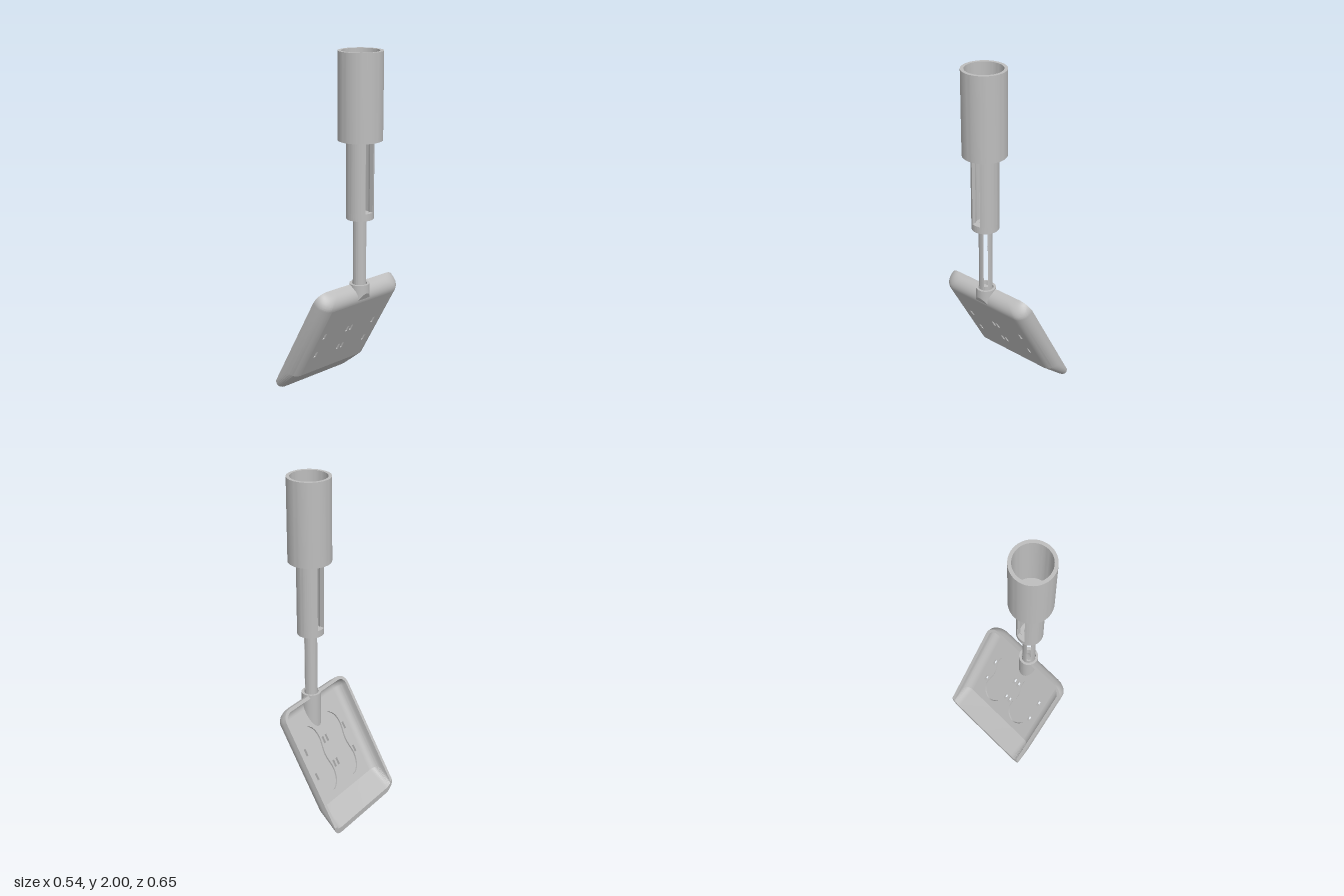
import * as THREE from 'three';
import { toCreasedNormals } from 'three/addons/utils/BufferGeometryUtils.js';

const grey = new THREE.MeshStandardMaterial({ color: 0xbdbdbd, side: THREE.DoubleSide });
grey.name = 'grey';

const DEPTH = 0.094, HALF = 0.303, FILLET = 0.07, WALL = 0.02;
const FLOOR_START = 0.106, FLOOR_END = 0.655;

function part(name, geometry, crease = 0.25) {
  const mesh = new THREE.Mesh(toCreasedNormals(geometry, crease), grey);
  mesh.name = name;
  return mesh;
}

// Upright tube between two heights; a slot of half width `slot` splits it in two
function tube(name, rOut, rIn, y0, y1, slot = 0, angle = 0) {
  const shapes = [];
  if (slot === 0) {
    const ring = new THREE.Shape().absarc(0, 0, rOut, 0, Math.PI * 2, false);
    ring.holes.push(new THREE.Path().absarc(0, 0, rIn, 0, Math.PI * 2, true));
    shapes.push(ring);
  } else {
    const a = Math.asin(slot / rOut), b = Math.asin(slot / rIn);
    for (const turn of [0, Math.PI]) {
      const t = turn + angle;
      const half = new THREE.Shape();
      half.absarc(0, 0, rOut, t + a, t + Math.PI - a, false);
      half.absarc(0, 0, rIn, t + Math.PI - b, t + b, true);
      half.closePath();
      shapes.push(half);
    }
  }
  const geo = new THREE.ExtrudeGeometry(shapes, { depth: y1 - y0, bevelEnabled: false, curveSegments: 40 });
  geo.rotateX(-Math.PI / 2);
  geo.translate(0, y0, 0);
  return part(name, geo);
}

// U-shaped section of the scoop at one station along its length
function section({ s, D, W, shear }, r) {
  const pts = [[s, 0, -W]];
  const rv = Math.min(r, D * 0.95), n = 9;
  const arc = [];
  for (let k = 0; k <= n; k++) {
    const a = (k / n) * Math.PI / 2;
    const d = D - rv + rv * Math.sin(a);
    arc.push([s + shear * d, -d, W - r + r * Math.cos(a)]);
  }
  for (const [x, y, z] of arc) pts.push([x, y, -z]);
  for (const p of arc.reverse()) pts.push(p);
  pts.push([s, 0, W]);
  return pts;
}

// Sections from the lip, over the ramp and floor, round the handle end
function sections(inset, lipDepth) {
  const D = DEPTH - inset, W = HALF - inset, r = FILLET - inset;
  const stations = [
    { s: -0.01, D: lipDepth, W, shear: -1.732 },
    { s: FLOOR_START, D, W, shear: 0 },
  ];
  for (let k = 0; k <= 10; k++) {
    const a = (k / 10) * Math.PI / 2;
    const drop = r * (1 - Math.cos(a));
    stations.push({ s: FLOOR_END + r * Math.sin(a), D: D - drop, W: W - drop, shear: 0 });
  }
  return stations.map((st) => section(st, r));
}

function scoopShell() {
  const outer = sections(0, 0.0306), inner = sections(WALL, 0.013);
  const pos = [];
  const tri = (a, b, c, flip) => pos.push(...a, ...(flip ? c : b), ...(flip ? b : c));
  const quad = (a, b, c, d, flip) => { tri(a, b, c, flip); tri(a, c, d, flip); };
  const N = outer.length - 1, M = outer[0].length - 1, mid = (M - 1) / 2;
  [outer, inner].forEach((rows, side) => {
    for (let i = 0; i < N; i++) for (let j = 0; j < M; j++) {
      if (i === 1 && j === mid) continue; // the pierced floor panel fills this gap
      quad(rows[i][j], rows[i + 1][j], rows[i + 1][j + 1], rows[i][j + 1], side === 1);
    }
    for (let j = 1; j < M; j++) tri(rows[N][0], rows[N][j], rows[N][j + 1], side === 0);
  });
  // Lip edge and rim
  for (let j = 0; j < M; j++) quad(outer[0][j], outer[0][j + 1], inner[0][j + 1], inner[0][j], false);
  for (let i = 0; i < N; i++) {
    quad(outer[i][0], outer[i + 1][0], inner[i + 1][0], inner[i][0], true);
    quad(outer[i][M], outer[i + 1][M], inner[i + 1][M], inner[i][M], false);
  }
  quad(outer[N][0], outer[N][M], inner[N][M], inner[N][0], true);
  const geo = new THREE.BufferGeometry();
  geo.setAttribute('position', new THREE.Float32BufferAttribute(pos, 3));
  return part('scoopShell', geo);
}

// One layer of the flat floor, with drain slots and optionally the two waisted recesses
function floorLayer(name, top, bottom, recessed) {
  const w = HALF - FILLET;
  const shape = new THREE.Shape();
  shape.moveTo(FLOOR_START, -w).lineTo(FLOOR_END, -w).lineTo(FLOOR_END, w).lineTo(FLOOR_START, w).closePath();
  for (const s of [0.278, 0.435]) for (const v of [-0.19, -0.0155, 0.0155, 0.19]) {
    const l = 0.022, h = 0.008;
    shape.holes.push(new THREE.Path().moveTo(s - l, v - h).lineTo(s - l, v + h)
      .lineTo(s + l, v + h).lineTo(s + l, v - h).closePath());
  }
  if (recessed) for (const side of [-1, 1]) {
    const outline = [[-0.205, 0], [-0.175, 0.047], [-0.11, 0.069], [0, 0.054], [0.11, 0.069], [0.175, 0.047],
      [0.205, 0], [0.175, -0.047], [0.11, -0.069], [0, -0.054], [-0.11, -0.069], [-0.175, -0.047]];
    const curve = new THREE.CatmullRomCurve3(
      outline.map(([s, v]) => new THREE.Vector3(0.357 + s, side * 0.105 + v, 0)), true);
    const pts = curve.getPoints(72).slice(0, -1).map((p) => new THREE.Vector2(p.x, p.y));
    shape.holes.push(new THREE.Path(pts));
  }
  const geo = new THREE.ExtrudeGeometry(shape, { depth: bottom - top, bevelEnabled: false });
  geo.rotateX(Math.PI / 2);
  geo.translate(0, -top, 0);
  return part(name, geo, 0.4);
}

// Socket for the rod, its foot cut off along the slope of the scoop floor
function socket() {
  const profile = [[0, 0], [0.057, 0], [0.057, 0.7], [0.043, 0.7], [0.043, 0.66], [0, 0.66]];
  const geo = new THREE.LatheGeometry(profile.map(([x, y]) => new THREE.Vector2(x, y)), 48);
  const p = geo.attributes.position;
  for (let i = 0; i < p.count; i++) if (p.getY(i) < 0.1) p.setY(i, 0.551 + 1.732 * p.getX(i));
  return part('rodSocket', geo);
}

export function createModel() {
  const model = new THREE.Group();
  model.name = 'telescopicScoop';
  model.rotation.y = THREE.MathUtils.degToRad(7.2);
  model.position.set(-0.001, 0, -0.009);

  const scoop = new THREE.Group();
  scoop.name = 'scoop';
  scoop.rotation.z = Math.PI / 3;
  scoop.position.set(-0.232, 0.07, 0);
  scoop.add(
    scoopShell(),
    floorLayer('floorTop', DEPTH - WALL, DEPTH - 0.01, true),
    floorLayer('floorBase', DEPTH - 0.01, DEPTH, false),
  );

  const handle = new THREE.Group();
  handle.name = 'handle';
  handle.position.x = 0.15;
  const deg = Math.PI / 180;
  handle.add(
    socket(),
    // Thin slotted rod with a stop at its top
    tube('rodFoot', 0.038, 0.031, 0.66, 0.72),
    tube('rod', 0.038, 0.031, 0.72, 1.085, 0.012, 43 * deg),
    tube('rodStop', 0.053, 0.031, 1.085, 1.11, 0.001, 56 * deg),
    // Middle tube with a long slot and a stop inside the grip
    tube('middleCollar', 0.077, 0.055, 1.08, 1.12),
    tube('middleTube', 0.077, 0.055, 1.12, 1.58, 0.028, 0),
    tube('middleStop', 0.102, 0.055, 1.56, 1.6, 0.002, -21 * deg),
    tube('grip', 0.123, 0.104, 1.52, 2),
  );

  model.add(scoop, handle);
  const root = new THREE.Group();
  root.name = 'model';
  root.add(model);
  return root;
}
